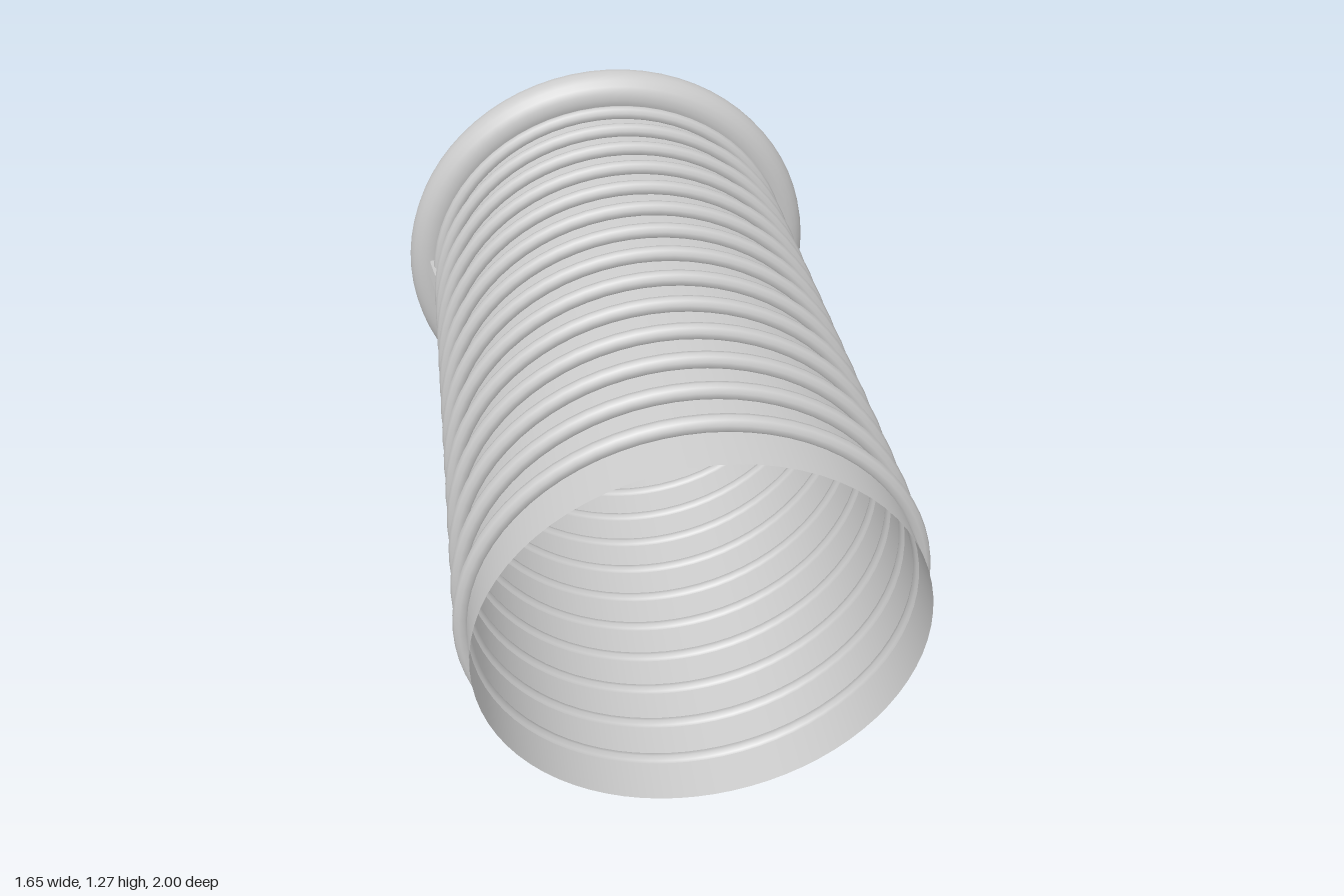
import * as THREE from 'three';

// Ribbed duct; local z runs from the collar to the open end.
export function createModel() {
  const model = new THREE.Group();
  const mat = new THREE.MeshStandardMaterial({ color: 0xcccccc });
  const thinMat = new THREE.MeshStandardMaterial({ color: 0xcccccc, side: THREE.DoubleSide });
  const add = (parent, name, geometry, material = mat) => {
    const mesh = new THREE.Mesh(geometry, material);
    mesh.name = name;
    parent.add(mesh);
    return mesh;
  };

  const collarCentre = new THREE.Vector3(-0.26, 0.67, -0.735);
  const mouthCentre = new THREE.Vector3(0.35, 0.535, 0.81);
  const length = collarCentre.distanceTo(mouthCentre);
  const duct = new THREE.Group();
  duct.name = 'duct';
  duct.position.copy(collarCentre);
  duct.lookAt(mouthCentre);
  model.add(duct);

  // thin open wall
  const wall = new THREE.CylinderGeometry(0.509, 0.509, length, 72, 1, true);
  wall.rotateX(Math.PI / 2).translate(0, 0, length / 2);
  add(duct, 'tubeWall', wall, thinMat);

  // thick collar at the back end
  add(duct, 'collar', new THREE.TorusGeometry(0.545, 0.062, 20, 72));

  // evenly spaced ribs
  const rib = new THREE.TorusGeometry(0.52, 0.02, 10, 72);
  for (let i = 0; i < 14; i++) {
    add(duct, 'rib', rib).position.z = length - 0.12 - i * 0.112;
  }

  // tapered fins inside the collar, their roots poking through the wall
  const outline = [[0.53, 0.03], [0.552, 0.07], [0.53, 0.2], [0.5, 0.38], [0.27, 0.31], [0.39, 0.03]];
  const shape = new THREE.Shape(outline.map(([x, z]) => new THREE.Vector2(x - 0.5, -z)));
  const fin = new THREE.ExtrudeGeometry(shape, { depth: 0.035, bevelEnabled: false });
  fin.translate(0, 0, -0.0175).rotateX(-Math.PI / 2);
  fin.rotateZ(-0.2).translate(0.5, -0.03, 0);
  for (const [name, turn] of [['leftFin', 0], ['rightFin', Math.PI]]) {
    add(duct, name, fin).rotation.z = turn;
  }
  return model;
}
